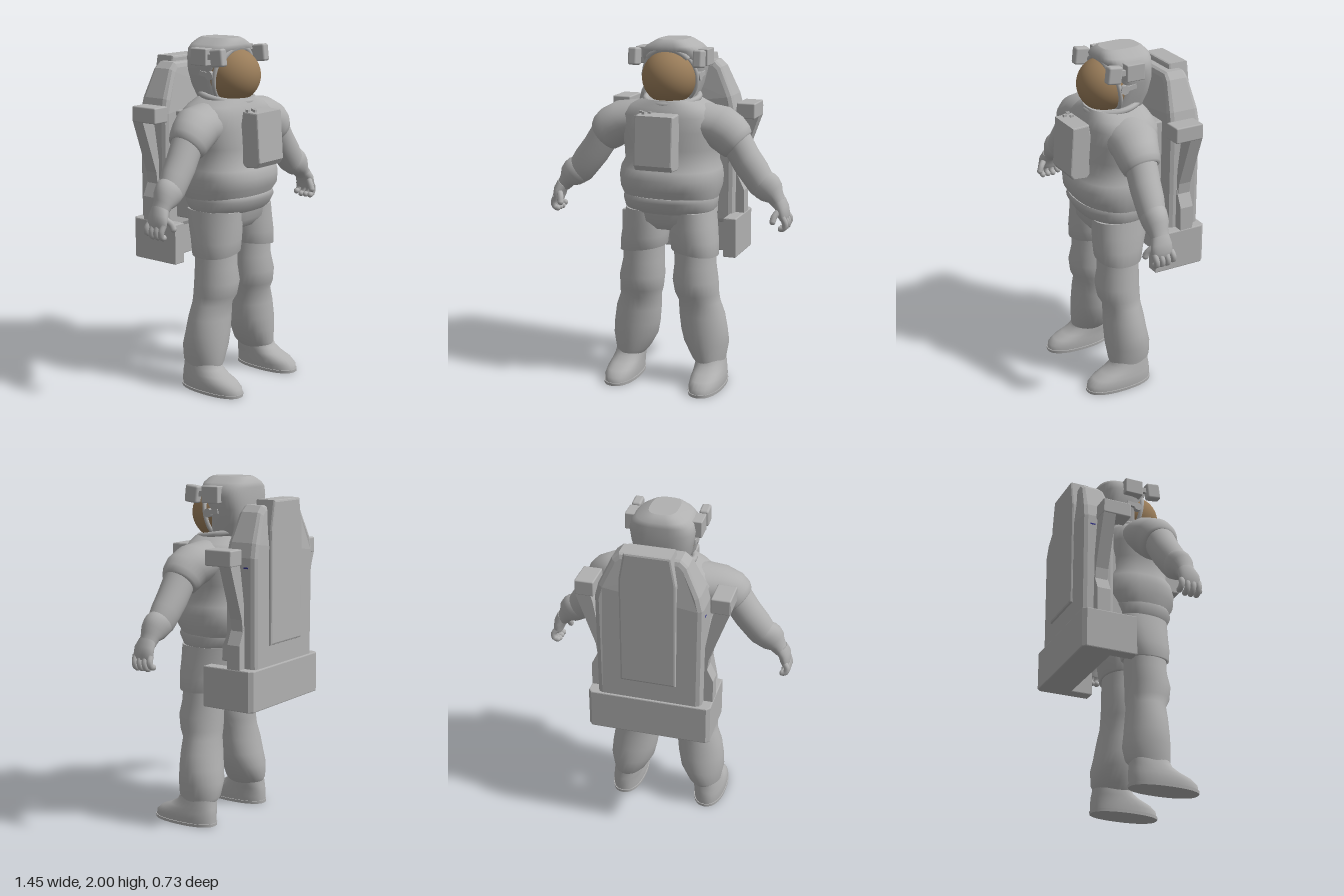
import * as THREE from 'three';
import { RoundedBoxGeometry } from 'three/addons/geometries/RoundedBoxGeometry.js';

const suit = new THREE.MeshStandardMaterial({ name: 'suit grey', color: 0xb0b0b0 });
const gold = new THREE.MeshStandardMaterial({ name: 'visor bronze', color: 0x9a7d5a });
const blue = new THREE.MeshStandardMaterial({ name: 'marking blue', color: 0x30308a });

function add(parent, name, geometry, material = suit, pos = [0, 0, 0], rot = [0, 0, 0]) {
  const mesh = new THREE.Mesh(geometry, material);
  mesh.name = name;
  mesh.position.set(...pos);
  mesh.rotation.set(...rot);
  parent.add(mesh);
  return mesh;
}

// Skin over rings [x, y, z, halfWidth, halfDepth, tilt], listed from the bottom up.
// power 2 gives ellipses, higher powers give squarer sections.
function loft(rings, power = 2, n = 28) {
  const pos = [], index = [];
  const curve = (v) => Math.sign(v) * Math.abs(v) ** (2 / power);
  const ring = ([x, y, z, a, b, tilt = 0]) => {
    for (let j = 0; j < n; j++) {
      const t = (j / n) * Math.PI * 2, u = a * curve(Math.cos(t));
      pos.push(x + u * Math.cos(tilt), y + u * Math.sin(tilt), z + b * curve(Math.sin(t)));
    }
  };
  rings.forEach(ring);
  for (let i = 0; i < rings.length - 1; i++) {
    for (let j = 0; j < n; j++) {
      const k = (j + 1) % n, p = i * n, q = p + n;
      index.push(p + j, q + j, p + k, p + k, q + j, q + k);
    }
  }
  // Flat end caps
  for (const top of [false, true]) {
    const r = top ? rings[rings.length - 1] : rings[0], base = pos.length / 3;
    ring(r);
    pos.push(r[0], r[1], r[2]);
    for (let j = 0; j < n; j++) {
      const k = (j + 1) % n;
      index.push(base + n, base + (top ? k : j), base + (top ? j : k));
    }
  }
  const g = new THREE.BufferGeometry();
  g.setAttribute('position', new THREE.Float32BufferAttribute(pos, 3));
  g.setIndex(index);
  g.computeVertexNormals();
  return g;
}

// Outline pushed along z from z0 over depth, with an optional bevel
function slab(points, z0, depth, bevel = 0) {
  const shape = new THREE.Shape(points.map(([x, y]) => new THREE.Vector2(x, y)));
  const g = new THREE.ExtrudeGeometry(shape, {
    depth: depth - 2 * bevel, bevelEnabled: bevel > 0, bevelSize: bevel, bevelThickness: bevel, bevelOffset: -bevel, bevelSegments: 2,
  });
  return g.translate(0, 0, z0 + bevel);
}

const box = (w, h, d, r = 0.01) => new RoundedBoxGeometry(w, h, d, 2, r);

function buildTorso(root) {
  add(root, 'torso', loft([
    [0, 1.04, 0.07, 0.25, 0.18], [0, 1.12, 0.06, 0.275, 0.215], [0, 1.17, 0.06, 0.29, 0.25],
    [0, 1.23, 0.06, 0.295, 0.255], [0, 1.28, 0.06, 0.288, 0.24], [0, 1.32, 0.05, 0.27, 0.215],
    [0, 1.4, 0.05, 0.275, 0.215], [0, 1.5, 0.04, 0.3, 0.215], [0, 1.58, 0.04, 0.3, 0.205],
    [0, 1.63, 0.045, 0.24, 0.18], [0, 1.67, 0.05, 0.15, 0.155],
  ], 2.4, 40));
  add(root, 'belt', loft([
    [0, 1.03, 0.07, 0.25, 0.18], [0, 1.05, 0.07, 0.268, 0.195], [0, 1.1, 0.07, 0.275, 0.225],
    [0, 1.125, 0.07, 0.268, 0.215],
  ], 2.3, 40));
  add(root, 'pelvis', loft([
    [0, 0.93, 0.08, 0.17, 0.12], [0, 0.98, 0.08, 0.245, 0.16], [0, 1.06, 0.07, 0.26, 0.18],
  ], 2.3, 36));
  add(root, 'neckRing', new THREE.TorusGeometry(0.152, 0.018, 10, 40), suit, [0, 1.672, 0.05], [Math.PI / 2 + 0.165, 0, 0]);

  // Chest control box, drawn in profile and turned sideways
  const profile = [[-0.35, 1.605], [-0.25, 1.61], [-0.2, 1.29], [-0.35, 1.3], [-0.37, 1.33]];
  add(root, 'chestBox', slab(profile.reverse(), -0.1125, 0.225, 0.008).rotateY(Math.PI / 2));
  for (let i = 0; i < 3; i++) {
    add(root, 'chestSwitch', new THREE.BoxGeometry(0.016, 0.02, 0.02), suit, [-0.1 + i * 0.025, 1.611, 0.275 + (i % 2) * 0.03]);
  }
}

function buildHead(root) {
  const head = new THREE.Group();
  head.name = 'head';
  root.add(head);
  add(head, 'helmet', loft([
    [0, 1.66, 0, 0.125, 0.105], [0, 1.74, -0.02, 0.152, 0.115], [0, 1.82, -0.03, 0.17, 0.12],
    [0, 1.89, -0.012, 0.185, 0.137], [0, 1.94, 0, 0.175, 0.15], [0, 1.965, 0.003, 0.145, 0.148],
    [0, 1.99, 0.005, 0.1, 0.128], [0, 2, 0.005, 0.08, 0.11],
  ], 3, 36));
  const visor = add(head, 'visor', new THREE.SphereGeometry(0.157, 40, 28), gold, [0, 1.79, 0.095]);
  visor.scale.set(0.99, 0.98, 1);
  add(head, 'visorFrame', new THREE.TorusGeometry(0.158, 0.013, 8, 48), suit, [0, 1.792, 0.085], [0.18, 0, 0]);
  add(head, 'brow', new THREE.TorusGeometry(0.156, 0.017, 8, 28, 1.7).rotateZ(Math.PI / 2 - 0.85), suit, [0, 1.797, 0.1], [0.22, 0, 0]);
  for (const s of [-1, 1]) {
    add(head, 'lampHousing', box(0.065, 0.095, 0.112, 0.006), suit, [s * 0.184, 1.903, 0.015]);
    add(head, 'lampArm', new THREE.BoxGeometry(0.02, 0.03, 0.06), suit, [s * 0.19, 1.905, 0.085]);
    add(head, 'lamp', box(0.052, 0.098, 0.085, 0.012), suit, [s * 0.192, 1.904, 0.142], [-0.12, 0, 0]);
    add(head, 'visorPivot', new THREE.CylinderGeometry(0.025, 0.025, 0.03, 20), suit, [s * 0.16, 1.797, 0.058], [0, 0, Math.PI / 2]);
    add(head, 'visorLever', new THREE.BoxGeometry(0.02, 0.026, 0.07), suit, [s * 0.165, 1.805, 0.023], [0.15, 0, 0]);
  }
}

// One side's limbs, built on +x
function buildLimbs(side) {
  add(side, 'shoulder', loft([
    [0.41, 1.427, 0.085, 0.09, 0.092, 0.84], [0.405, 1.432, 0.085, 0.102, 0.107, 0.84],
    [0.385, 1.455, 0.085, 0.115, 0.115, 0.84], [0.345, 1.49, 0.08, 0.122, 0.125, 0.9],
    [0.28, 1.52, 0.06, 0.125, 0.14, 1.1], [0.18, 1.53, 0.05, 0.12, 0.15, 1.4],
  ]));
  add(side, 'arm', loft([
    [0.568, 1.205, 0.108, 0.075, 0.065, 0.8], [0.55, 1.225, 0.105, 0.083, 0.075, 0.8],
    [0.515, 1.275, 0.1, 0.088, 0.082, 0.8], [0.46, 1.345, 0.095, 0.09, 0.087, 0.82],
    [0.4, 1.44, 0.088, 0.092, 0.09, 0.84],
  ]));
  add(side, 'gloveCuff', loft([
    [0.66, 1.12, 0.115, 0.04, 0.05, 0.65], [0.635, 1.155, 0.115, 0.05, 0.056, 0.7],
    [0.612, 1.18, 0.112, 0.075, 0.068, 0.75], [0.585, 1.205, 0.11, 0.085, 0.073, 0.77],
    [0.565, 1.222, 0.107, 0.085, 0.075, 0.8], [0.55, 1.235, 0.105, 0.078, 0.07, 0.8],
  ]));
  add(side, 'palm', loft([
    [0.69, 1.035, 0.12, 0.022, 0.05, 0.2], [0.688, 1.06, 0.122, 0.031, 0.064, 0.25],
    [0.678, 1.1, 0.122, 0.036, 0.062, 0.4], [0.655, 1.135, 0.117, 0.042, 0.052, 0.6],
  ]));
  const digit = (name, pts, r) => {
    const v = pts.map((p) => new THREE.Vector3(...p));
    add(side, name, new THREE.TubeGeometry(new THREE.CatmullRomCurve3(v), 8, r, 10));
    add(side, name + 'Tip', new THREE.SphereGeometry(r, 10, 8), suit, pts[pts.length - 1]);
  };
  for (let i = 0; i < 4; i++) {
    const z = 0.07 + i * 0.034, lift = i === 0 ? 0.012 : 0;
    digit('finger', [[0.69, 1.06, z], [0.707, 1.02 + lift, z - 0.006], [0.7, 0.993 + lift, z - 0.01], [0.682, 0.988 + lift, z - 0.01]], 0.017);
  }
  digit('thumb', [[0.67, 1.09, 0.16], [0.65, 1.06, 0.188], [0.645, 1.035, 0.2]], 0.018);

  add(side, 'shorts', loft([
    [0.157, 0.795, 0.1, 0.122, 0.12, -0.14], [0.157, 0.797, 0.1, 0.138, 0.134, -0.14],
    [0.152, 0.87, 0.095, 0.137, 0.145, -0.06], [0.14, 0.95, 0.08, 0.135, 0.16], [0.135, 1.04, 0.07, 0.125, 0.17],
  ], 2.2));
  add(side, 'leg', loft([
    [0.252, 0.125, 0.08, 0.08, 0.11], [0.238, 0.165, 0.072, 0.1, 0.128], [0.222, 0.25, 0.072, 0.132, 0.133],
    [0.21, 0.33, 0.08, 0.138, 0.125], [0.198, 0.42, 0.085, 0.136, 0.117], [0.183, 0.5, 0.09, 0.123, 0.11],
    [0.172, 0.55, 0.103, 0.129, 0.124], [0.165, 0.63, 0.11, 0.134, 0.129], [0.16, 0.72, 0.1, 0.122, 0.122],
    [0.155, 0.86, 0.1, 0.12, 0.12],
  ]));
  add(side, 'boot', loft([
    [0.262, 0.015, 0.155, 0.09, 0.202], [0.262, 0.045, 0.152, 0.093, 0.2], [0.26, 0.075, 0.135, 0.09, 0.182],
    [0.257, 0.1, 0.105, 0.087, 0.15], [0.253, 0.13, 0.082, 0.085, 0.122], [0.25, 0.16, 0.075, 0.082, 0.115],
  ], 2.3));
  add(side, 'sole', loft([[0.262, 0, 0.155, 0.094, 0.206], [0.262, 0.017, 0.155, 0.096, 0.207]], 2.3));
}

function buildPack(root) {
  const pack = new THREE.Group();
  pack.name = 'backpack';
  root.add(pack);
  // Main body, thinner towards the top
  const half = [[0.3, 0.9], [0.305, 1.58], [0.285, 1.66], [0.21, 1.82], [0.17, 1.855]];
  const outline = [...half, ...half.map(([x, y]) => [-x, y]).reverse()];
  const body = slab(outline, -0.35, 0.2, 0.03);
  const p = body.attributes.position;
  for (let i = 0; i < p.count; i++) {
    const rise = Math.max(0, p.getY(i) - 1.62);
    p.setZ(i, -0.255 + (p.getZ(i) + 0.255) * (1 - rise * 1.4));
  }
  body.computeVertexNormals();
  add(pack, 'packBody', body);
  add(pack, 'packPanel', slab([[-0.16, 1.08], [0.16, 1.08], [0.16, 1.72], [0.13, 1.885], [-0.13, 1.885], [-0.16, 1.72]], -0.364, 0.125, 0.012));
  add(pack, 'harness', box(0.42, 0.62, 0.14), suit, [0, 1.28, -0.13]);
  // U-shaped lower box reaching forward round the hips
  const arms = [[-0.355, 0.04], [-0.28, 0.04], [-0.28, 0.17], [0.28, 0.17], [0.28, 0.04], [0.355, 0.04],
    [0.355, 0.34], [0.335, 0.362], [-0.335, 0.362], [-0.355, 0.34]];
  add(pack, 'lowerBox', slab(arms, 0.73, 0.235, 0.006).rotateX(-Math.PI / 2));
  for (const s of [-1, 1]) {
    const arm = new THREE.Group();
    arm.name = 'packArm';
    arm.scale.x = s;
    pack.add(arm);
    add(arm, 'armGusset', slab([[0.27, 0.96], [0.353, 0.96], [0.353, 1.1], [0.3, 1.21], [0.27, 1.21]], -0.28, 0.08));
    add(arm, 'armStrut', slab([[0.27, 1.12], [0.31, 1.12], [0.325, 1.24], [0.437, 1.55], [0.437, 1.6], [0.36, 1.6], [0.335, 1.5]], -0.278, 0.075));
    add(arm, 'controllerBox', box(0.11, 0.09, 0.17, 0.008), suit, [0.383, 1.585, -0.195]);
    add(arm, 'sideMarking', new THREE.BoxGeometry(0.006, 0.008, 0.03), blue, [0.303, 1.525, -0.29]);
  }
}

export function createModel() {
  const root = new THREE.Group();
  root.name = 'astronaut';
  buildTorso(root);
  buildHead(root);
  for (const s of [1, -1]) {
    const side = new THREE.Group();
    side.name = s > 0 ? 'leftLimbs' : 'rightLimbs';
    side.scale.x = s;
    buildLimbs(side);
    root.add(side);
  }
  buildPack(root);
  return root;
}
